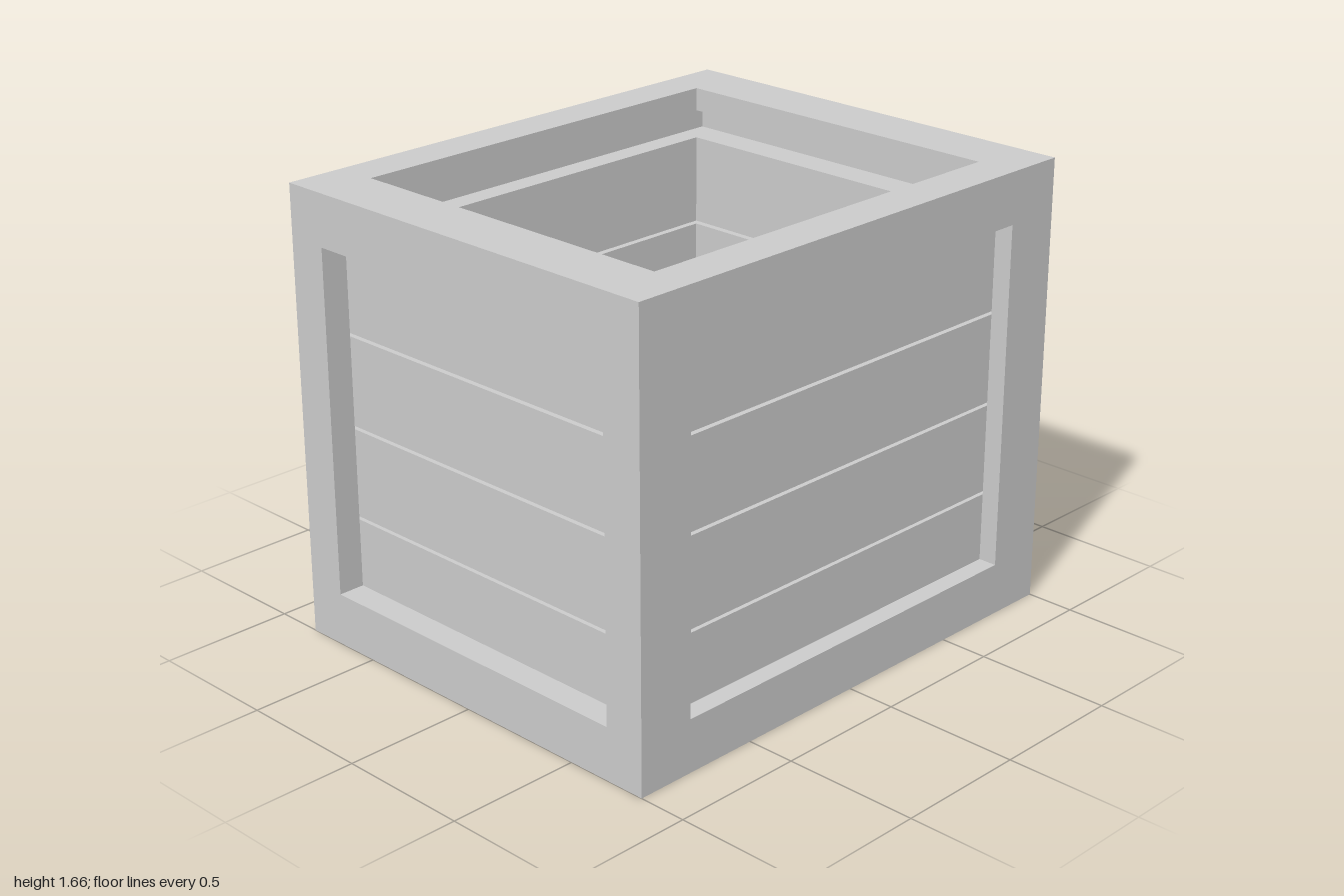
import * as THREE from 'three';

const W = 0.82, H = 1.66, D = 1;              // half width, height, half depth
const TX = 0.07, TY = 0.085, TZ = 0.1;        // frame thickness on each axis
const OX = 0.665, OZ = 0.78, Y0 = 0.195, Y1 = 1.47; // openings

const material = new THREE.MeshStandardMaterial({ color: 0xcccccc, flatShading: true });

function rect(target, x0, y0, x1, y1) {
  target.moveTo(x0, y0);
  target.lineTo(x1, y0);
  target.lineTo(x1, y1);
  target.lineTo(x0, y1);
  target.closePath();
  return target;
}

// Rectangular frame with a rectangular opening, extruded along +z
function frameGeometry(outer, hole, depth) {
  const shape = rect(new THREE.Shape(), ...outer);
  shape.holes.push(rect(new THREE.Path(), ...hole));
  return new THREE.ExtrudeGeometry(shape, { depth, bevelEnabled: false });
}

export function createModel() {
  const crate = new THREE.Group();
  crate.name = 'crate';

  const add = (name, geometry) => {
    const mesh = new THREE.Mesh(geometry, material);
    mesh.name = name;
    crate.add(mesh);
    return mesh;
  };
  const box = (name, x0, x1, y0, y1, z0, z1) =>
    add(name, new THREE.BoxGeometry(x1 - x0, y1 - y0, z1 - z0))
      .position.set((x0 + x1) / 2, (y0 + y1) / 2, (z0 + z1) / 2);

  const ix = W - TX, iz = D - TZ;             // inner faces of the frames

  // Front and back frames
  const endFrame = frameGeometry([-W, 0, W, H], [-OX, Y0, OX, Y1], TZ);
  add('frontFrame', endFrame).position.z = iz;
  add('backFrame', endFrame).position.z = -D;

  // Left and right frames, fitted between the end frames
  const sideFrame = frameGeometry([-iz, 0, iz, H], [-OZ, Y0, OZ, Y1], TX).rotateY(Math.PI / 2);
  add('leftFrame', sideFrame).position.x = ix;
  add('rightFrame', sideFrame).position.x = -W;

  // Top rim and bottom frame, both open in the middle
  const flatFrame = frameGeometry([-ix, -iz, ix, iz], [-OX, -OZ, OX, OZ], TY).rotateX(-Math.PI / 2);
  add('topRim', flatFrame).position.y = H - TY;
  add('bottomFrame', flatFrame);

  // Wall planks behind the openings, stopping short of the rim
  const pitch = 0.34, gap = 0.012;
  for (let i = 0; i < 4; i++) {
    const y1 = Y1 - i * pitch, y0 = y1 - pitch + gap;
    box('frontPlank', -ix, ix, y0, y1, OZ, iz);
    box('backPlank', -ix, ix, y0, y1, -iz, -OZ);
    box('leftPlank', OX, ix, y0, y1, -OZ, OZ);
    box('rightPlank', -ix, -OX, y0, y1, -OZ, OZ);
  }

  // Floor planks, running across the width
  const floorPitch = 0.3195, floorGap = 0.018;
  for (let i = 0; i < 5; i++) {
    const z1 = 0.755 - i * floorPitch;
    const z0 = Math.max(z1 - floorPitch + floorGap, -OZ);
    box('floorPlank', -OX, OX, 0.135, 0.2, z0, z1);
  }
  return crate;
}
